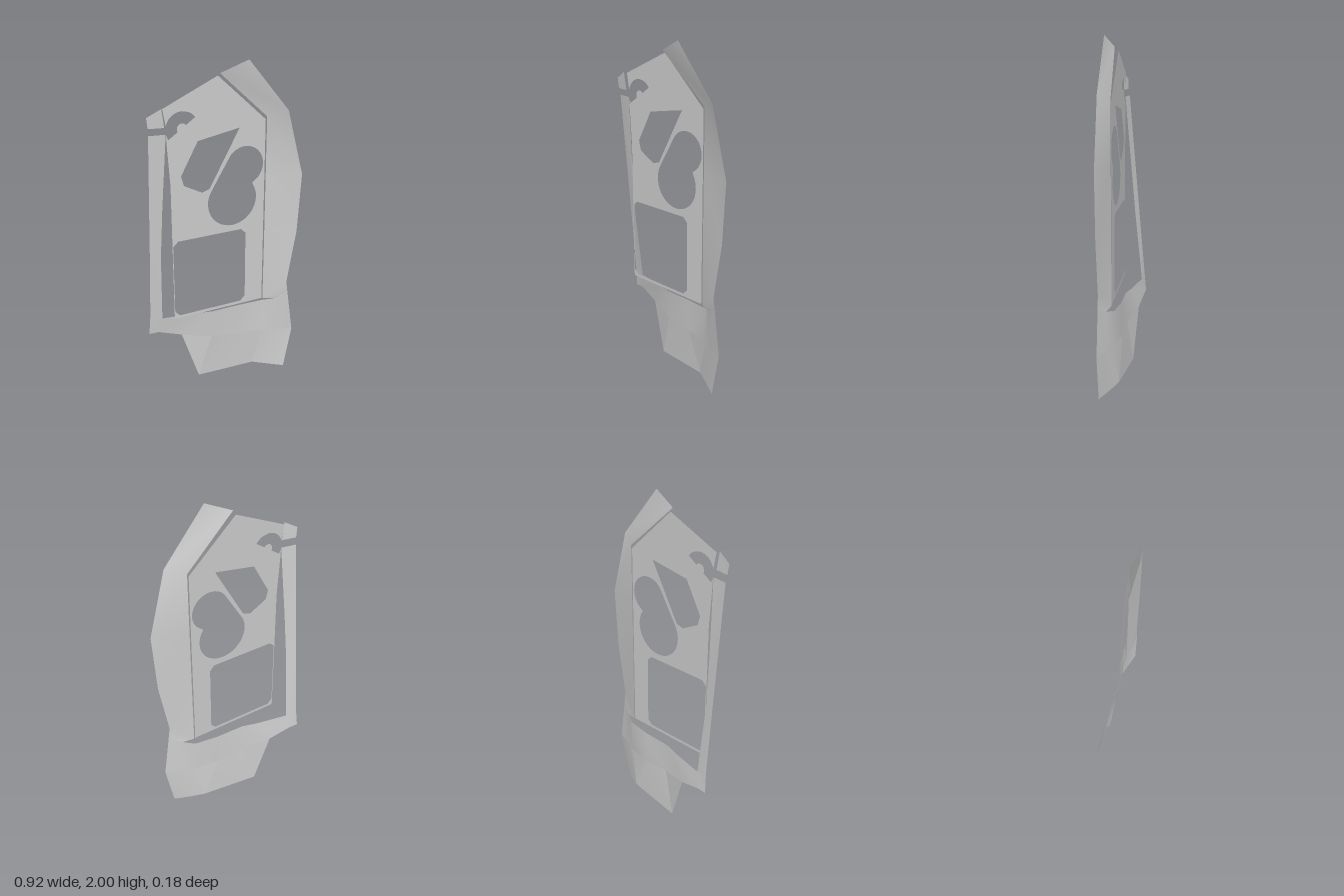
import * as THREE from 'three';

const material = new THREE.MeshStandardMaterial({ color: 0xcccccc, side: THREE.DoubleSide });

// Thin skin stretched between two edges that have the same number of points
function skin(name, a, b) {
  const index = [];
  const n = a.length;
  for (let i = 0; i < n - 1; i++) index.push(i, n + i, i + 1, i + 1, n + i, n + i + 1);
  const geometry = new THREE.BufferGeometry();
  geometry.setAttribute('position', new THREE.Float32BufferAttribute([...a, ...b].flat(), 3));
  geometry.setIndex(index);
  geometry.computeVertexNormals();
  const mesh = new THREE.Mesh(geometry, material);
  mesh.name = name;
  return mesh;
}

// Points along an arc, angles in degrees
function arc(cx, cy, r, from, to, steps = 28) {
  return Array.from({ length: steps + 1 }, (_, i) => {
    const t = THREE.MathUtils.degToRad(from + (to - from) * i / steps);
    return [cx + r * Math.cos(t), cy + r * Math.sin(t)];
  });
}

const vectors = (points) => points.map(([x, y]) => new THREE.Vector2(x, y));

function createPanel() {
  // Outline with a round notch biting in from the left edge
  const shape = new THREE.Shape(vectors([
    [-0.055, 1.92], [0.237, 1.65], [0.237, 0.512], [-0.34, 0.512], [-0.34, 1.35], [-0.355, 1.6],
    ...arc(-0.265, 1.66, 0.094, 195, 525, 40),
    [-0.372, 1.778],
  ]));
  const c = 0.03;
  const holes = [
    // Square window with clipped corners
    [[-0.336, 0.53 + c], [-0.306, 0.53], [0.12 - c, 0.53], [0.12, 0.53 + c],
      [0.12, 1.01 - c], [0.12 - c, 1.01], [-0.306, 1.01], [-0.336, 1.01 - c]],
    // Slanted slot
    [[-0.007, 1.822], [-0.05, 1.808], [-0.277, 1.395], [-0.262, 1.337],
      [-0.155, 1.28], [-0.108, 1.295], [0.127, 1.714], [0.105, 1.762]],
    // Two joined round openings
    [...arc(0.033, 1.2, 0.152, 145, 393), ...arc(0.11, 1.396, 0.116, -63, 142)],
  ];
  shape.holes = holes.map((h) => new THREE.Path(vectors(h)));
  const panel = new THREE.Mesh(new THREE.ShapeGeometry(shape), material);
  panel.name = 'instrumentPanel';
  panel.position.z = 0.034;
  return panel;
}

export function createModel() {
  const group = new THREE.Group();
  group.name = 'panelWithSurround';
  group.add(createPanel());

  // Small round plate in the middle of the notch
  const knob = new THREE.Mesh(new THREE.CircleGeometry(0.029, 24), material);
  knob.name = 'knobPlate';
  knob.position.set(-0.265, 1.66, 0.034);
  group.add(knob);

  // Corner tab above the notch
  group.add(skin('cornerTab',
    [[-0.46, 1.74, 0.03], [-0.382, 1.783, 0.048]],
    [[-0.453, 1.68, 0.028], [-0.368, 1.68, 0.044]]));

  // Narrow rail on the right
  group.add(skin('narrowRail',
    [[-0.452, 0.5, -0.079], [-0.45, 0.9, -0.044], [-0.45, 1.2, -0.018], [-0.45, 1.64, 0.02]],
    [[-0.38, 0.47, -0.07], [-0.39, 0.9, -0.025], [-0.38, 1.2, 0], [-0.358, 1.64, 0.035]]));

  // Wide rail on the left, leaning over the top
  group.add(skin('wideRail',
    [[0.315, 0.5, 0.055], [0.245, 0.51, 0.033], [0.245, 0.95, 0.035],
      [0.245, 1.31, 0.035], [0.245, 1.665, 0.035], [-0.052, 1.936, 0.055]],
    [[0.39, 0.55, 0.088], [0.38, 0.62, 0.088], [0.435, 0.95, 0.09],
      [0.455, 1.31, 0.09], [0.35, 1.7, 0.09], [0.1, 2, 0.09]]));

  // Apron below the panel: upper band, then lower pieces around a flat facet
  const top = [[-0.452, 0.5, -0.079], [-0.38, 0.47, -0.07], [-0.17, 0.474, -0.03], [-0.08, 0.476, -0.005],
    [0.1, 0.478, -0.002], [0.25, 0.484, 0.015], [0.315, 0.5, 0.055], [0.39, 0.55, 0.088]];
  const middle = [[-0.46, 0.37, -0.09], [-0.4, 0.37, -0.087], [-0.26, 0.325, -0.065], [-0.08, 0.29, -0.015],
    [0.1, 0.27, -0.008], [0.25, 0.27, 0.02], [0.33, 0.27, 0.055], [0.43, 0.27, 0.09]];
  const bottomRight = [-0.16, 0.01, -0.042];
  const bottomMiddle = [0.2, 0.025, -0.003];
  group.add(skin('apronUpper', top, middle));
  group.add(skin('apronLowerRight', middle.slice(2, 4), [bottomRight, bottomRight]));
  group.add(skin('apronFacet', middle.slice(3, 5), [bottomRight, bottomMiddle]));
  group.add(skin('apronLowerLeft', middle.slice(4),
    [bottomMiddle, bottomMiddle, [0.28, 0.012, 0.035], [0.38, 0, 0.088]]));
  return group;
}
